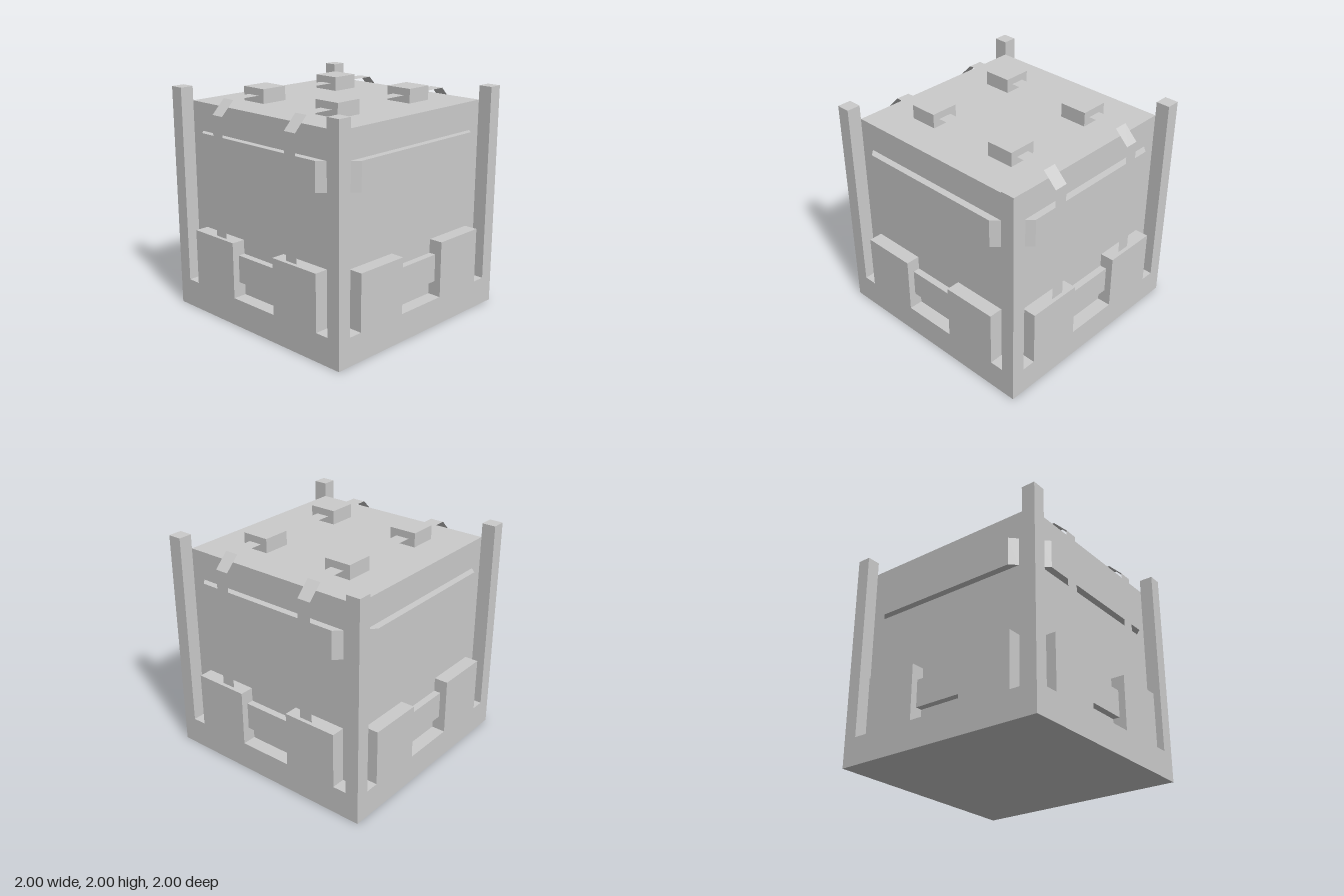
import * as THREE from 'three';

const material = new THREE.MeshStandardMaterial({ color: 0xcccccc, flatShading: true });
const sheetMaterial = new THREE.MeshStandardMaterial({
  color: 0xcccccc, flatShading: true, side: THREE.DoubleSide,
});

// Box given by its lower and upper corners
function box(name, [x0, y0, z0], [x1, y1, z1]) {
  const mesh = new THREE.Mesh(new THREE.BoxGeometry(x1 - x0, y1 - y0, z1 - z0), material);
  mesh.position.set((x0 + x1) / 2, (y0 + y1) / 2, (z0 + z1) / 2);
  mesh.name = name;
  return mesh;
}

// Rail with bevelled ends, lying against the wall at z = 0.875
function bevelledRail() {
  const shape = new THREE.Shape([
    new THREE.Vector2(-0.75, -0.875),
    new THREE.Vector2(0.75, -0.875),
    new THREE.Vector2(0.6875, -0.9375),
    new THREE.Vector2(-0.6875, -0.9375),
  ]);
  const geometry = new THREE.ExtrudeGeometry(shape, { depth: 0.25, bevelEnabled: false });
  geometry.rotateX(-Math.PI / 2);
  const rail = new THREE.Mesh(geometry, material);
  rail.position.y = 1.375;
  rail.name = 'upperRail';
  return rail;
}

// Everything mounted on one wall, built facing +z
function wallFittings() {
  const wall = new THREE.Group();
  for (const x of [-0.75, 0.25]) {
    wall.add(box('lowerPanel', [x, 0.25, 0.875], [x + 0.5, 0.75, 1]));
  }
  wall.add(box('lowerBar', [-0.25, 0.38, 0.875], [0.25, 0.625, 0.9375]));
  wall.add(bevelledRail());
  return wall;
}

// Thin strap that runs up one side, over the top and down the other
function strap() {
  const half = [[0.965, 0.75], [0.965, 1.8125], [0.84, 1.9375]];
  const path = [...half, ...half.map(([x, y]) => [-x, y]).reverse()];
  const geometry = new THREE.PlaneGeometry(1, 1, path.length - 1, 1);
  const position = geometry.attributes.position;
  path.forEach(([x, y], i) => {
    position.setXYZ(i, x, y, -0.0625);
    position.setXYZ(i + path.length, x, y, 0.0625);
  });
  // Wind the faces outward
  const index = geometry.index;
  for (let i = 0; i < index.count; i += 3) {
    const a = index.getX(i);
    index.setX(i, index.getX(i + 1));
    index.setX(i + 1, a);
  }
  const flat = geometry.toNonIndexed();
  flat.computeVertexNormals();
  const mesh = new THREE.Mesh(flat, sheetMaterial);
  mesh.name = 'strap';
  return mesh;
}

export function createModel() {
  const crate = new THREE.Group();
  crate.name = 'crate';

  // Base and body
  crate.add(box('base', [-1, 0, -1], [1, 0.25, 1]));
  crate.add(box('body', [-0.875, 0.25, -0.875], [0.875, 1.875, 0.875]));

  // Corner posts
  for (const sx of [-1, 1]) {
    for (const sz of [-1, 1]) {
      const post = box('cornerPost', [-0.0625, 0.25, -0.0625], [0.0625, 2, 0.0625]);
      post.position.x = sx * 0.9375;
      post.position.z = sz * 0.9375;
      crate.add(post);
    }
  }

  // The same fittings on all four walls
  ['front', 'left', 'back', 'right'].forEach((side, i) => {
    const wall = wallFittings();
    wall.name = side + 'Wall';
    wall.rotation.y = i * Math.PI / 2;
    crate.add(wall);
  });

  // Straps with their pads on top
  for (const z of [-0.4375, 0.4375]) {
    const band = strap();
    band.position.z = z;
    crate.add(band);
    for (const x of [-0.4375, 0.4375]) {
      crate.add(box('strapPad', [x - 0.125, 1.875, z - 0.125], [x + 0.125, 2, z + 0.125]));
    }
  }
  return crate;
}
